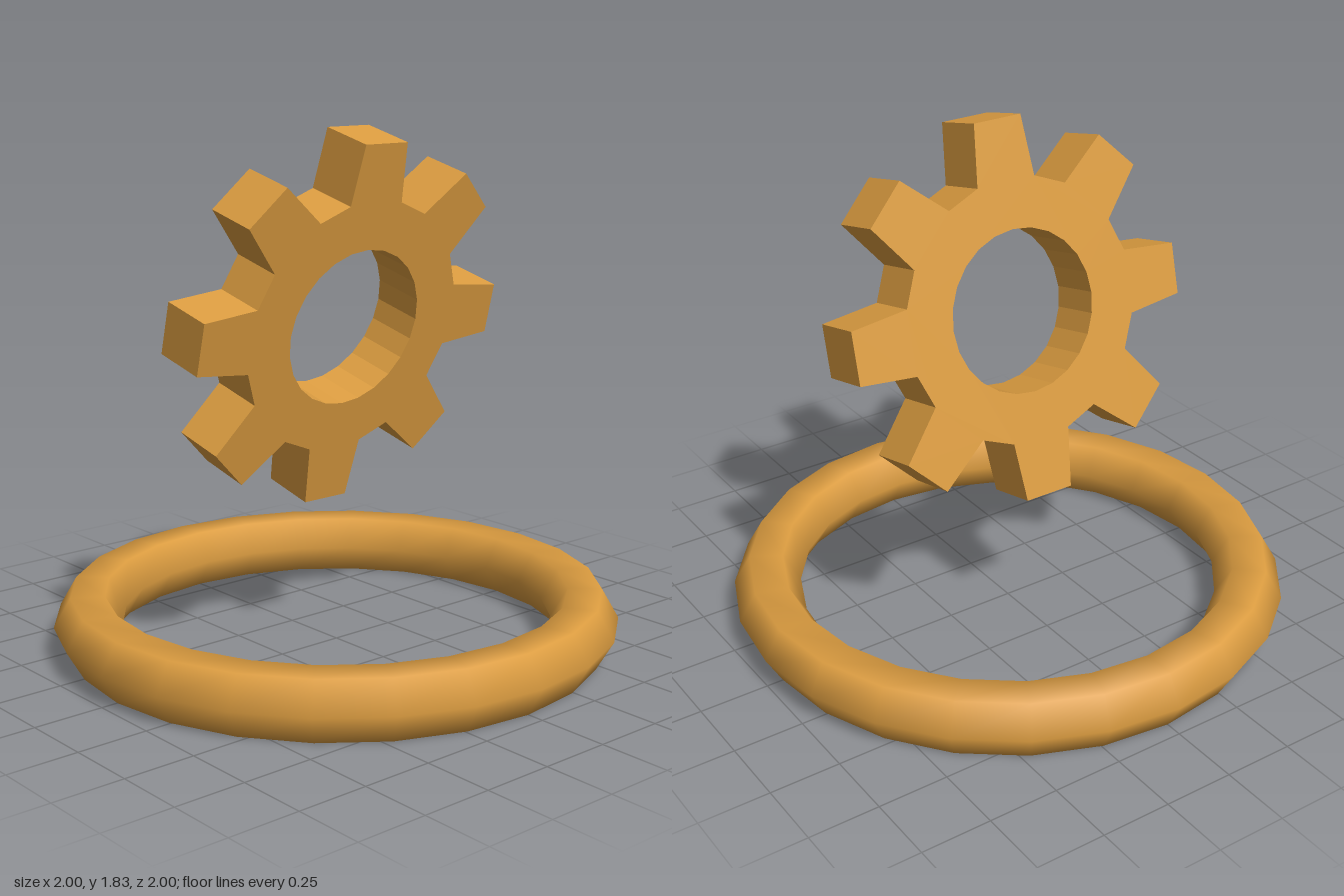
import * as THREE from 'three';

const TEETH = 8;
const THICKNESS = 0.2;

// Point on a circle, angle in degrees
const polar = (r, deg) => {
  const a = THREE.MathUtils.degToRad(deg);
  return new THREE.Vector2(r * Math.cos(a), r * Math.sin(a));
};

// Gear plate with tapered teeth and a round bore, centred on its own middle
function gearGeometry() {
  const points = [];
  for (let i = 0; i < TEETH; i++) {
    const mid = (i * 360) / TEETH;
    points.push(
      polar(0.457, mid - 14.4), polar(0.66, mid - 8),
      polar(0.66, mid + 8), polar(0.457, mid + 14.4),
    );
  }
  const shape = new THREE.Shape(points);
  const bore = new THREE.Path();
  bore.absarc(0, 0, 0.283, 0, Math.PI * 2, true);
  shape.holes.push(bore);
  const geometry = new THREE.ExtrudeGeometry(shape, {
    depth: THICKNESS, bevelEnabled: false, curveSegments: 12,
  });
  return geometry.translate(0, 0, -THICKNESS / 2);
}

export function createModel() {
  const model = new THREE.Group();
  model.name = 'floatingGear';
  const gold = new THREE.MeshStandardMaterial({ color: 0xdb9c40 });
  gold.name = 'gold';

  // Base ring: hexagonal tube with smooth normals, lying flat
  const ring = new THREE.Mesh(new THREE.TorusGeometry(0.88, 0.12, 6, 24), gold);
  ring.name = 'baseRing';
  ring.rotation.x = -Math.PI / 2;
  ring.position.y = 0.104;
  model.add(ring);

  // Gear hovering above the ring, top leaning forward
  const gear = new THREE.Mesh(gearGeometry(), gold);
  gear.name = 'gear';
  gear.rotation.x = 0.245;
  gear.position.y = 1.167;
  model.add(gear);

  return model;
}
